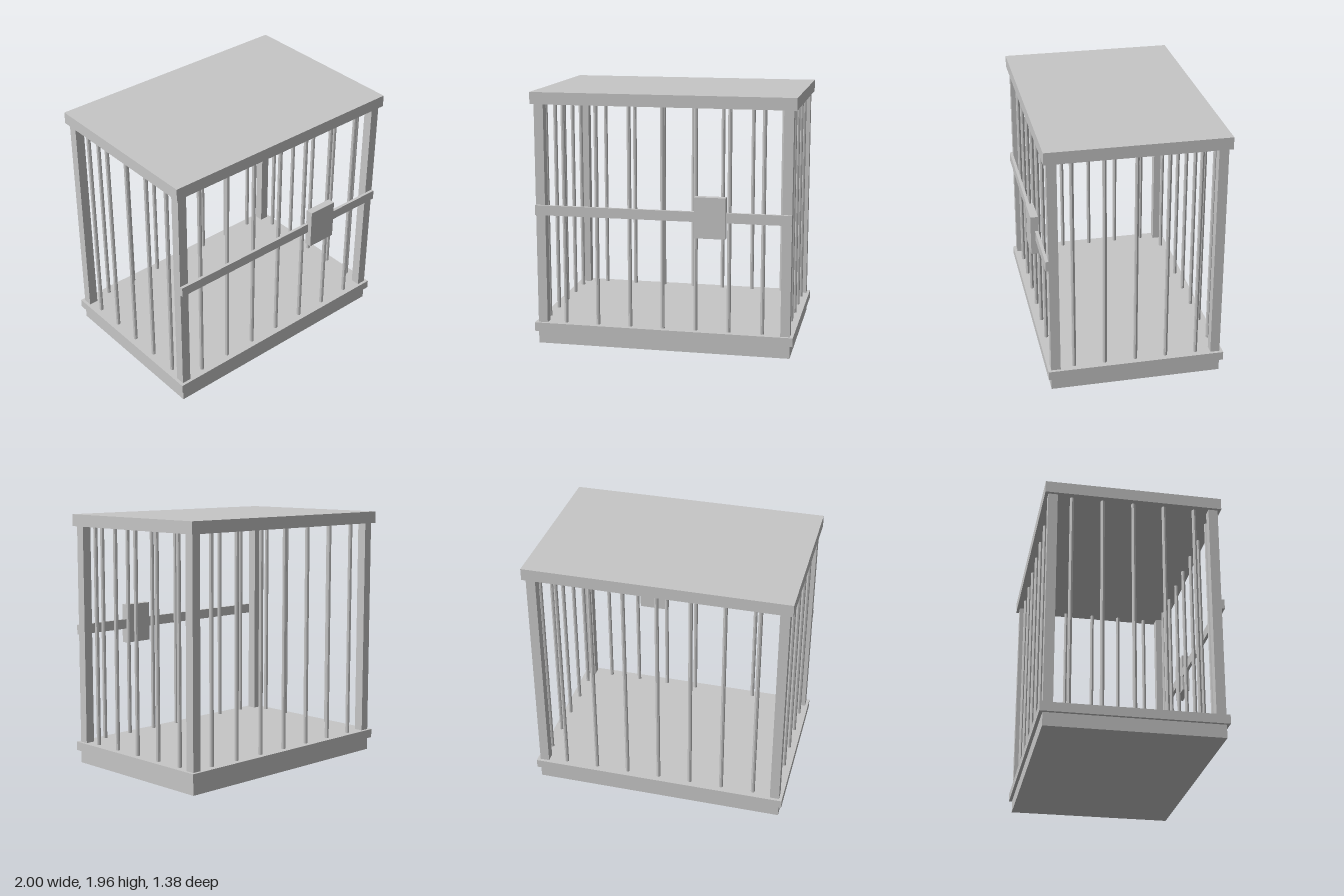
import * as THREE from 'three';

export function createModel() {
  const cage = new THREE.Group();
  cage.name = 'cage';
  const metal = new THREE.MeshStandardMaterial({ color: 0xc6c6c6, flatShading: true });
  metal.name = 'grey metal';

  // Box given by its lowest and highest corners
  function box(name, x0, x1, y0, y1, z0, z1) {
    const mesh = new THREE.Mesh(new THREE.BoxGeometry(x1 - x0, y1 - y0, z1 - z0), metal);
    mesh.position.set((x0 + x1) / 2, (y0 + y1) / 2, (z0 + z1) / 2);
    mesh.name = name;
    cage.add(mesh);
  }

  const floorTop = 0.168, roofBottom = 1.864;
  const barHeight = roofBottom - floorTop;
  const barGeometry = new THREE.CylinderGeometry(0.016, 0.016, barHeight, 8, 1, true);
  function bar(name, x, z) {
    const mesh = new THREE.Mesh(barGeometry, metal);
    mesh.position.set(x, floorTop + barHeight / 2, z);
    mesh.name = name;
    cage.add(mesh);
  }

  // Base, floor and roof slabs
  box('base', -0.976, 0.976, 0, 0.1, -0.668, 0.636);
  box('floor', -1, 1, 0.1, floorTop, -0.692, 0.659);
  box('roof', -1, 1, roofBottom, 1.955, -0.692, 0.659);

  // Corner posts
  for (const x of [-0.976, 0.904])
    for (const [name, z] of [['frontPost', 0.564], ['backPost', -0.668]])
      box(name, x, x + 0.072, floorTop, roofBottom, z, z + 0.072);

  // Bars along the front and back
  for (let i = -3; i <= 3; i++) {
    bar('frontBar', i * 0.254, 0.6);
    bar('backBar', i * 0.254, -0.632);
  }

  // Bars along both sides
  for (let i = -2; i <= 2; i++) {
    bar('leftBar', 0.94, -0.014 + i * 0.235);
    bar('rightBar', -0.94, -0.014 + i * 0.235);
  }

  // Front crossbar and lock box
  box('crossbar', -0.976, 0.976, 1.02, 1.096, 0.636, 0.659);
  box('lock', 0.258, 0.493, 0.904, 1.213, 0.636, 0.693);

  return cage;
}
